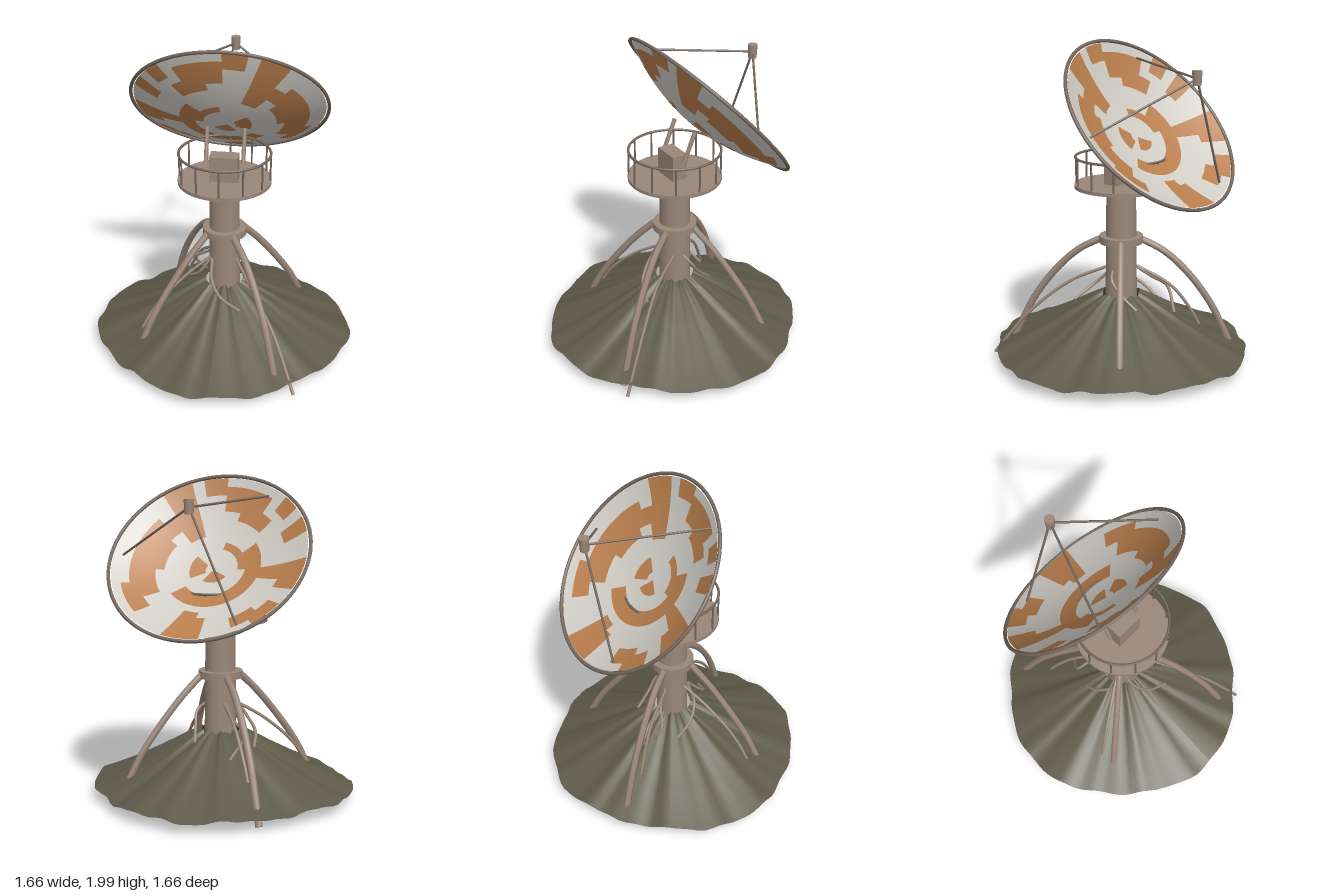
import * as THREE from 'three';

const mat = (name, color, side = THREE.FrontSide) => {
  const m = new THREE.MeshStandardMaterial({ color, side });
  m.name = name;
  return m;
};

export function createModel() {
  const model = new THREE.Group();
  model.name = 'dishTower';
  const tan = mat('weatheredTan', 0x9a8678);
  const brown = mat('darkBrownMetal', 0x74675d);
  const earth = mat('earth', 0x5e5a49, THREE.DoubleSide);
  const white = mat('dishWhite', 0xcfccc5, THREE.DoubleSide);
  const orange = mat('dishOrange', 0xb87d4c, THREE.DoubleSide);
  const V = (x, y, z) => new THREE.Vector3(x, y, z);

  const add = (parent, name, geo, material, x = 0, y = 0, z = 0) => {
    const m = new THREE.Mesh(geo, material);
    m.name = name;
    m.position.set(x, y, z);
    parent.add(m);
    return m;
  };
  // straight round bar between two points
  const bar = (parent, name, a, b, r, material) => {
    const d = b.clone().sub(a), mid = a.clone().add(b).multiplyScalar(0.5);
    const m = add(parent, name, new THREE.CylinderGeometry(r, r, d.length(), 8), material, mid.x, mid.y, mid.z);
    m.quaternion.setFromUnitVectors(V(0, 1, 0), d.normalize());
  };
  // curved limb with closed ends
  const limb = (name, pts, r, sides, material) => {
    const curve = new THREE.CatmullRomCurve3(pts);
    add(model, name, new THREE.TubeGeometry(curve, 24, r, sides), material);
    [0, 1].forEach(t => {
      const p = curve.getPoint(t);
      const cap = add(model, name + 'End', new THREE.CircleGeometry(r, sides), material, p.x, p.y, p.z);
      cap.quaternion.setFromUnitVectors(V(0, 0, 1), curve.getTangent(t).multiplyScalar(t ? 1 : -1));
    });
  };

  // Mound: open lathe with radial gullies and a ragged rim
  const moundProfile = [[0.83, 0.08], [0.75, 0.11], [0.6, 0.175], [0.4, 0.275], [0.2, 0.385], [0.12, 0.425]];
  const mound = new THREE.LatheGeometry(moundProfile.map(p => new THREE.Vector2(p[0], p[1])), 120);
  const mp = mound.attributes.position;
  for (let i = 0; i < mp.count; i++) {
    const x = mp.getX(i), z = mp.getZ(i), r = Math.hypot(x, z), t = Math.atan2(z, x), k = r / 0.83;
    const edge = 0.806 + 0.02 * Math.cos(4 * t) + 0.012 * Math.cos(t - 2.36)
      + 0.006 * Math.sin(11 * t + 1) + 0.004 * Math.sin(19 * t);
    const s = 1 + (edge / 0.83 - 1) * k;
    const gully = 0.008 * Math.sin(9 * t + 0.6) + 0.006 * Math.sin(17 * t + 2) + 0.004 * Math.sin(29 * t);
    mp.setXYZ(i, x * s, mp.getY(i) + gully, z * s);
  }
  mound.computeVertexNormals();
  add(model, 'mound', mound, earth);

  // Column, collar, deck and equipment box
  add(model, 'column', new THREE.CylinderGeometry(0.092, 0.102, 0.92, 32), tan, 0, 0.66, 0);
  add(model, 'collar', new THREE.CylinderGeometry(0.138, 0.138, 0.045, 32), tan, 0, 0.777, 0);
  add(model, 'deck', new THREE.CylinderGeometry(0.29, 0.29, 0.022, 48), tan, 0, 1.12, 0);
  add(model, 'equipmentBox', new THREE.BoxGeometry(0.175, 0.165, 0.1), tan, 0, 1.21, 0.016);

  // Railing
  const rail = add(model, 'handrail', new THREE.TorusGeometry(0.283, 0.008, 8, 64), brown, 0, 1.3, 0);
  rail.rotation.x = Math.PI / 2;
  for (let i = 0; i < 12; i++) {
    const a = i * Math.PI / 6, x = 0.283 * Math.cos(a), z = 0.283 * Math.sin(a);
    bar(model, 'railPost', V(x, 1.13, z), V(x, 1.3, z), 0.006, brown);
  }

  // Arms carrying the dish
  for (const s of [-1, 1]) bar(model, 'dishArm', V(s * 0.115, 1.24, 0.012), V(s * 0.115, 1.44, -0.07), 0.013, tan);

  // Four splayed legs, opposite ones alike
  const longLeg = [[0.12, 0.78], [0.27, 0.70], [0.42, 0.56], [0.56, 0.37], [0.65, 0.19], [0.725, 0.02]];
  const shortLeg = [[0.12, 0.78], [0.25, 0.65], [0.39, 0.48], [0.51, 0.31], [0.62, 0.1]];
  [[57, longLeg], [142, shortLeg], [234, longLeg], [322, shortLeg]].forEach(([deg, profile]) => {
    const a = deg * Math.PI / 180;
    limb('leg', profile.map(([r, y]) => V(r * Math.cos(a), y, r * Math.sin(a))), 0.022, 6, tan);
  });

  // Thin winding cables from the column into the ground
  [
    [[0.08, 0.6, 0.06], [0.2, 0.5, 0.25], [0.36, 0.3, 0.45], [0.5, 0.015, 0.64]],
    [[-0.08, 0.6, 0.04], [-0.25, 0.48, 0.14], [-0.42, 0.3, 0.24], [-0.57, 0.015, 0.32]],
    [[-0.06, 0.6, -0.08], [-0.18, 0.48, -0.25], [-0.27, 0.3, -0.36], [-0.36, 0.015, -0.46]],
    [[-0.08, 0.6, 0.07], [-0.15, 0.5, 0.08], [-0.23, 0.42, 0], [-0.25, 0.32, -0.13]],
    [[-0.07, 0.6, 0.08], [-0.06, 0.5, 0.17], [0, 0.42, 0.24], [0.13, 0.35, 0.28]],
    [[0.08, 0.6, 0], [0.14, 0.54, -0.04], [0.13, 0.46, -0.1], [0.1, 0.37, -0.2]],
    [[-0.05, 0.6, -0.08], [-0.12, 0.53, -0.15], [-0.22, 0.45, -0.2], [-0.16, 0.31, -0.3]],
  ].forEach(path => limb('cable', path.map(p => V(...p)), 0.01, 6, tan));

  // Dish group: local y is the axis, the origin is the bottom of the bowl
  const tilt = 0.8366;
  const dish = new THREE.Group();
  dish.name = 'dish';
  dish.rotation.x = -tilt;
  dish.position.set(0, 1.535 - 0.15 * Math.cos(tilt), -0.24 + 0.15 * Math.sin(tilt));
  model.add(dish);
  const bowlY = r => r * r / 2.4;

  // Orange patches: inner and outer radius, start and end angle in degrees
  const patches = [
    [0.4, 0.6, -97, -74], [0.35, 0.45, -90, -74], [0.5, 0.6, -146, -128], [0.45, 0.55, -135, -115],
    [0.3, 0.6, -180, -165], [0.45, 0.6, -172, -157], [0.2, 0.3, -180, -45], [0.15, 0.3, 142, 180],
    [0.15, 0.2, 100, 150], [0, 0.1, -150, -60], [0.05, 0.15, -30, 38], [0.45, 0.55, -48, -22],
    [0.35, 0.5, -38, 8], [0.3, 0.4, -8, 30], [0.4, 0.5, 8, 38], [0.25, 0.45, 45, 68],
    [0.4, 0.6, 50, 68], [0.35, 0.45, 30, 52], [0.5, 0.6, 75, 90], [0.4, 0.55, 90, 122],
    [0.35, 0.45, 105, 135], [0.5, 0.6, 130, 142], [0.45, 0.6, 150, 163],
  ];
  const rings = 12, sectors = 96;
  const profile = Array.from({ length: rings + 1 }, (_, i) => new THREE.Vector2(i * 0.05, bowlY(i * 0.05)));
  const bowl = new THREE.LatheGeometry(profile, sectors);
  const index = [[], []];
  for (let s = 0; s < sectors; s++) {
    for (let j = 0; j < rings; j++) {
      const phi = (s + 0.5) / sectors * Math.PI * 2, r = (j + 0.5) * 0.05;
      const deg = Math.atan2(Math.cos(phi), Math.sin(phi)) * 180 / Math.PI;
      const hit = patches.some(p => r > p[0] && r < p[1] && deg > p[2] && deg < p[3]);
      const start = (s * rings + j) * 6;
      for (let k = 0; k < 6; k++) index[hit ? 1 : 0].push(bowl.index.getX(start + k));
    }
  }
  index.forEach((list, i) => {
    const g = bowl.clone();
    g.setIndex(list);
    add(dish, i ? 'dishOrangePatches' : 'dishWhitePanels', g, i ? orange : white);
  });

  // Rim ring
  const rim = add(dish, 'dishRim', new THREE.TorusGeometry(0.616, 0.011, 8, 96), brown, 0, 0.15, 0);
  rim.rotation.x = Math.PI / 2;

  // Receiver on three struts
  for (let i = 0; i < 3; i++) {
    const a = i * Math.PI * 2 / 3;
    bar(dish, 'receiverStrut', V(0.55 * Math.cos(a), bowlY(0.55), 0.55 * Math.sin(a)), V(0, 0.575, 0), 0.007, brown);
  }
  add(model, 'receiver', new THREE.CylinderGeometry(0.03, 0.026, 0.085, 16), tan, 0, 1.823, -0.555);

  return model;
}
